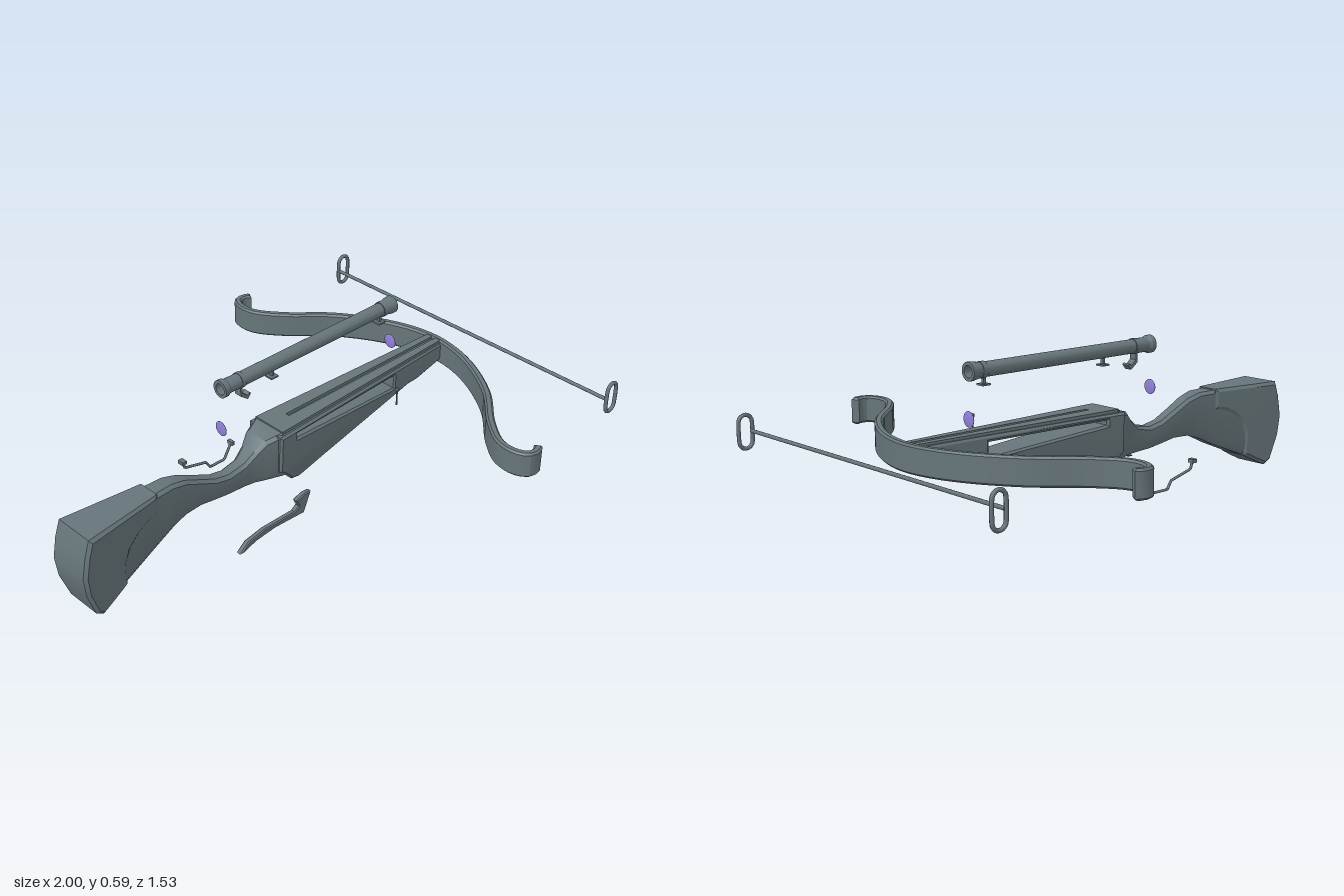
import * as THREE from 'three';
import { toCreasedNormals } from 'three/addons/utils/BufferGeometryUtils.js';

const metal = new THREE.MeshStandardMaterial({ color: 0x66757a });
const glass = new THREE.MeshStandardMaterial({ color: 0x8f7fd6 });
const V3 = (x, y, z) => new THREE.Vector3(x, y, z);
const shapeOf = pts => new THREE.Shape(pts.map(p => new THREE.Vector2(p[0], p[1])));

export function createModel() {
  const model = new THREE.Group();

  function add(name, geo, x = 0, y = 0, z = 0, mat = metal, parent = model) {
    const mesh = new THREE.Mesh(geo, mat);
    mesh.name = name;
    mesh.position.set(x, y, z);
    parent.add(mesh);
    return mesh;
  }
  const box = (name, w, h, d, x, y, z, parent) =>
    add(name, new THREE.BoxGeometry(w, h, d), x, y, z, metal, parent);

  // Bevelled side profile, total thickness 1, centred on z = 0
  function slab(shape, thick, bevel) {
    const g = new THREE.ExtrudeGeometry(shape, {
      depth: thick - 2 * bevel, bevelEnabled: bevel > 0, bevelSize: bevel,
      bevelThickness: bevel, bevelOffset: -bevel, bevelSegments: 1, curveSegments: 12,
    });
    return g.translate(0, 0, -thick / 2 + bevel);
  }

  // Scale the thickness along x so that the half width follows a rule
  function taper(geo, half, rule) {
    const p = geo.attributes.position;
    for (let i = 0; i < p.count; i++) p.setZ(i, p.getZ(i) / half * rule(p.getX(i), p.getY(i)));
    return toCreasedNormals(geo, 0.4);
  }

  // Butt of the stock, with its front edge stepping up from the wrist
  const butt = shapeOf([[-0.965, 0.34], [-0.985, 0.28], [-1, 0.2], [-0.99, 0.12], [-0.955, 0.025],
    [-0.925, 0.005], [-0.87, 0.03], [-0.81, 0.06], [-0.81, 0.15], [-0.79, 0.2], [-0.75, 0.235],
    [-0.7, 0.257], [-0.655, 0.262], [-0.655, 0.343]]);
  add('butt', taper(slab(butt, 0.18, 0.012), 0.09,
    (x, y) => (0.047 + (-0.65 - x) * 0.136) * (0.9 + 0.3 * Math.min(y, 0.34))));

  // Wrist lofted through chamfered sections: x, top, bottom, half width
  const stations = [[-0.85, 0.33, 0.045, 0.062], [-0.8, 0.334, 0.066, 0.058], [-0.66, 0.338, 0.122, 0.042],
    [-0.58, 0.338, 0.16, 0.038], [-0.52, 0.322, 0.178, 0.034], [-0.45, 0.288, 0.18, 0.031],
    [-0.38, 0.255, 0.168, 0.03], [-0.32, 0.243, 0.16, 0.03], [-0.25, 0.256, 0.157, 0.032],
    [-0.205, 0.29, 0.157, 0.04], [-0.17, 0.325, 0.157, 0.055], [-0.1, 0.344, 0.157, 0.08]];
  const pos = [], idx = [], n = 8;
  stations.forEach(([x, t, b, w]) => {
    const c = 0.012;
    [[t, -w + c], [t, w - c], [t - c, w], [b + 2 * c, w], [b, w - c], [b, -w + c], [b + 2 * c, -w], [t - c, -w]]
      .forEach(([y, z]) => pos.push(x, y, z));
  });
  for (let i = 0; i < stations.length - 1; i++) for (let j = 0; j < n; j++) {
    const a = i * n + j, b = i * n + (j + 1) % n;
    idx.push(a, b, a + n, b, b + n, a + n);
  }
  const wrist = new THREE.BufferGeometry();
  wrist.setAttribute('position', new THREE.Float32BufferAttribute(pos, 3));
  wrist.setIndex(idx);
  add('wrist', toCreasedNormals(wrist, 0.6));

  // Fore end with the long slot through its sides
  const fore = shapeOf([[-0.13, 0.335], [-0.13, 0.185], [-0.1, 0.16], [-0.06, 0.118], [-0.02, 0.11],
    [0.1, 0.14], [0.57, 0.24], [0.62, 0.24], [0.775, 0.27], [0.775, 0.338]]);
  fore.holes.push(new THREE.Path([[-0.045, 0.315], [0.48, 0.315], [0.48, 0.262], [-0.045, 0.298]]
    .map(p => new THREE.Vector2(...p))));
  const foreHalf = (x, y) => (0.085 - (x + 0.1) * 0.049) * (0.78 + 0.22 * Math.min(1, (y - 0.1) / 0.12));
  add('foreEnd', taper(slab(fore, 0.16, 0.008), 0.08, foreHalf));

  // Top plate with the bolt groove
  const plate = shapeOf([[-0.11, -0.07], [0.775, -0.032], [0.775, -0.008], [-0.02, -0.008],
    [-0.02, 0.008], [0.775, 0.008], [0.775, 0.032], [-0.11, 0.07]]);
  add('boltTrack', slab(plate, 0.014, 0).rotateX(Math.PI / 2), 0, 0.34, 0);

  // Recurved bow: a ribbon around a mirrored centre line
  const limb = [[0.475, 0.735], [0.45, 0.75], [0.415, 0.743], [0.393, 0.7], [0.4, 0.63], [0.47, 0.53],
    [0.61, 0.39], [0.72, 0.21], [0.765, 0.06]];
  const line = new THREE.CatmullRomCurve3([...limb, ...limb.map(([x, z]) => [x, -z]).reverse()]
    .map(([x, z]) => V3(x, z, 0)));
  const near = [], far = [];
  for (let i = 0; i <= 90; i++) {
    const p = line.getPointAt(i / 90), t = line.getTangentAt(i / 90);
    near.push([p.x - t.y * 0.015, p.y + t.x * 0.015]);
    far.unshift([p.x + t.y * 0.015, p.y - t.x * 0.015]);
  }
  add('bow', toCreasedNormals(slab(shapeOf([...near, ...far]), 0.1, 0.007).rotateX(Math.PI / 2), 0.5), 0, 0.299, 0);

  // Bowstring with a long loop at each end
  const string = new THREE.Group();
  string.name = 'bowstring';
  model.add(string);
  add('cord', new THREE.CylinderGeometry(0.007, 0.007, 1.38, 10).rotateX(Math.PI / 2), 0.94, 0.302, 0, metal, string);
  const loopPts = [];
  for (let i = 0; i < 20; i++) {
    const a = i / 20 * Math.PI * 2 + Math.PI / 20;
    loopPts.push(V3(0.026 * Math.cos(a), 0.026 * Math.sin(a) + Math.sign(Math.sin(a)) * 0.034, 0));
  }
  const loop = new THREE.TubeGeometry(new THREE.CatmullRomCurve3(loopPts, true), 48, 0.0075, 8, true);
  for (const s of [-1, 1]) add('stringLoop', loop, 0.964, 0.302, s * 0.69, metal, string);

  // Hollow sight tube with flared ends
  const sight = new THREE.Group();
  sight.name = 'sight';
  sight.position.set(0, 0.56, -0.037);
  model.add(sight);
  const tube = [[0.021, -0.3], [0.033, -0.3], [0.033, -0.283], [0.027, -0.272], [0.027, -0.22],
    [0.029, -0.22], [0.029, -0.205], [0.026, -0.205], [0.026, 0.485], [0.029, 0.485], [0.029, 0.505],
    [0.027, 0.505], [0.033, 0.537], [0.033, 0.55], [0.021, 0.55], [0.021, -0.3]];
  add('sightTube', toCreasedNormals(new THREE.LatheGeometry(tube.map(p => new THREE.Vector2(...p)), 24)
    .rotateZ(-Math.PI / 2), 0.4), 0, 0, 0, metal, sight);
  for (const x of [-0.06, 0.485]) {
    box('mountPost', 0.01, 0.028, 0.012, x, -0.037, 0, sight);
    box('mountFoot', 0.034, 0.006, 0.034, x, -0.05, 0, sight);
  }

  // Bent lever hanging below the rear of the sight
  const lever = shapeOf([[-0.22, -0.022], [-0.21, -0.022], [-0.212, -0.048], [-0.19, -0.066], [-0.178, -0.058],
    [-0.172, -0.064], [-0.188, -0.082], [-0.22, -0.058]]);
  add('sightLever', slab(lever, 0.03, 0), 0, 0, 0, metal, sight);

  // Lenses
  for (const x of [-0.3, 0.55])
    add('lens', new THREE.SphereGeometry(0.028, 24, 14).scale(0.18, 1, 1), x, 0.4, -0.037, glass);

  // Cocking lever beside the stock
  const trigger = shapeOf([[-0.447, 0.072], [-0.425, 0.072], [-0.375, 0.09], [-0.285, 0.1], [-0.145, 0.094],
    [-0.112, 0.172], [-0.14, 0.175], [-0.182, 0.162], [-0.17, 0.135], [-0.19, 0.12], [-0.33, 0.12], [-0.41, 0.105]]);
  add('triggerLever', toCreasedNormals(slab(trigger, 0.022, 0.004), 0.4), 0, 0, 0.205);

  // Trigger guard: a bent rod with a cross pin at each end
  const bends = [[-0.31, 0.155], [-0.3, 0.125], [-0.2, 0.1], [-0.18, 0.07], [-0.11, 0.07], [-0.075, 0.13]];
  const path = new THREE.CurvePath();
  for (let i = 1; i < bends.length; i++)
    path.add(new THREE.LineCurve3(V3(...bends[i - 1], 0), V3(...bends[i], 0)));
  add('triggerGuard', new THREE.TubeGeometry(path, 60, 0.005, 8), 0, 0, -0.247);
  box('guardPin', 0.02, 0.014, 0.026, -0.31, 0.155, -0.247);
  box('guardPin', 0.014, 0.014, 0.026, -0.075, 0.13, -0.247);

  // Loose pin
  add('pin', new THREE.CylinderGeometry(0.003, 0.003, 0.07, 8), 0.372, 0.325, 0.167);
  box('pinHead', 0.005, 0.012, 0.016, 0.372, 0.357, 0.167);

  return model;
}
